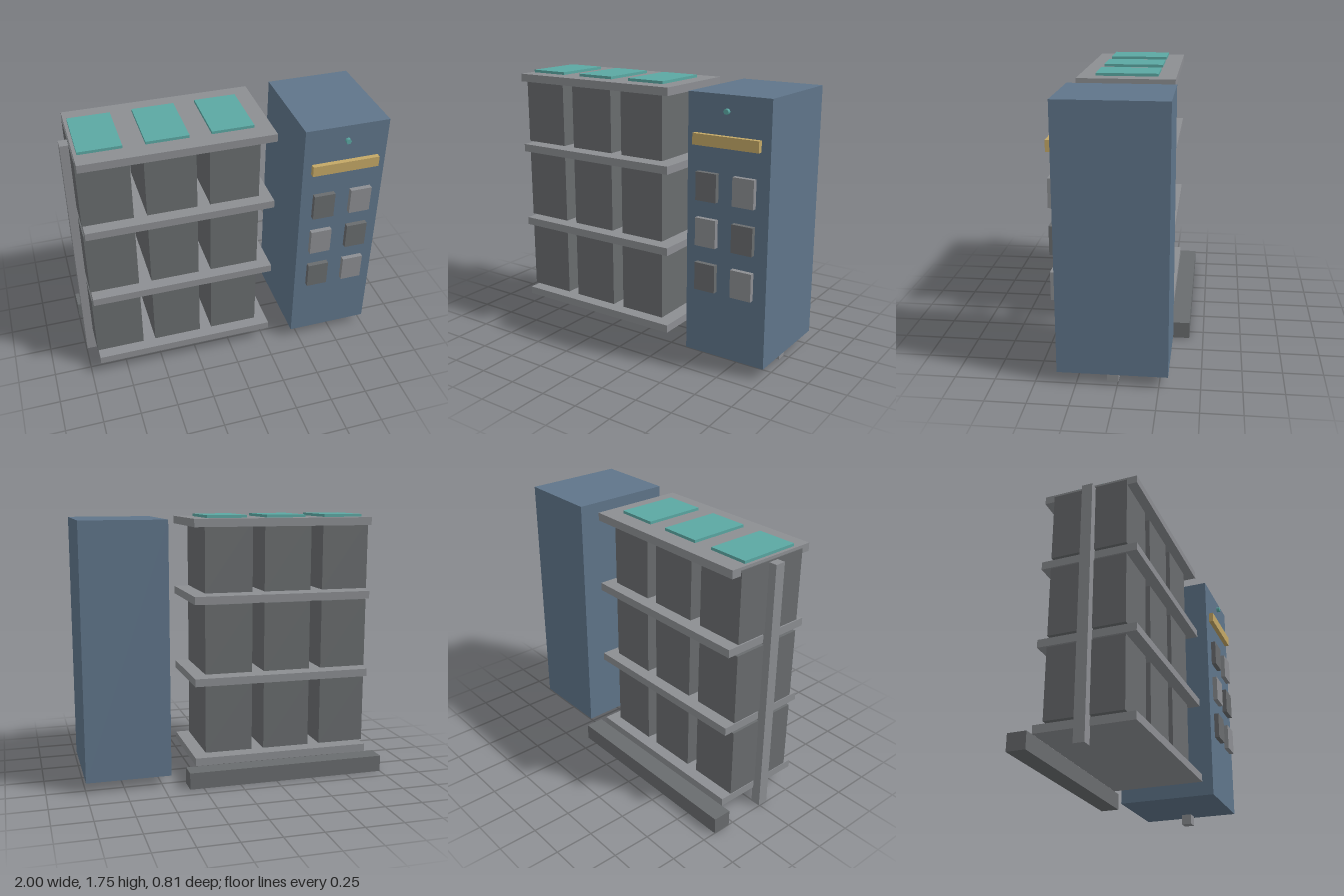
import * as THREE from 'three';

const mat = (name, color) => {
  const m = new THREE.MeshStandardMaterial({ color });
  m.name = name;
  return m;
};

export function createModel() {
  const blue = mat('cabinet blue', 0x5f758a);
  const dark = mat('dark grey', 0x696c6e);
  const light = mat('light grey', 0x8c8e92);
  const teal = mat('teal', 0x5ba8a3);
  const gold = mat('gold', 0xc4a866);
  const model = new THREE.Group();
  model.name = 'batteryStorageUnit';

  // box given by its lower and upper limits on each axis
  const box = (parent, name, material, [x0, x1], [y0, y1], [z0, z1]) => {
    const mesh = new THREE.Mesh(new THREE.BoxGeometry(x1 - x0, y1 - y0, z1 - z0), material);
    mesh.position.set((x0 + x1) / 2, (y0 + y1) / 2, (z0 + z1) / 2);
    mesh.name = name;
    parent.add(mesh);
    return mesh;
  };

  // Rack: four shelves, a side post and a rear floor rail
  const rack = new THREE.Group();
  rack.name = 'rack';
  model.add(rack);
  for (const y of [0.112, 0.65, 1.188, 1.68]) {
    box(rack, 'shelf', light, [-0.935, 0.275], [y, y + 0.052], [-0.287, 0.342]);
  }
  box(rack, 'sidePost', light, [-0.995, -0.928], [0, 1.705], [-0.003, 0.067]);
  box(rack, 'floorRail', dark, [-1, 0.342], [0, 0.11], [-0.408, -0.285]);

  // Three tiers of three battery modules with teal lids
  for (const y of [0.176, 0.714, 1.252]) {
    for (const x of [-0.78, -0.375, 0.03]) {
      const module = new THREE.Group();
      module.name = 'batteryModule';
      rack.add(module);
      box(module, 'batteryBody', dark, [x - 0.161, x + 0.161], [y, y + 0.462], [-0.22, 0.278]);
      box(module, 'batteryLid', teal, [x - 0.134, x + 0.134], [y + 0.462, y + 0.498], [-0.172, 0.23]);
    }
  }

  // Control cabinet with its foot
  const cabinet = new THREE.Group();
  cabinet.name = 'controlCabinet';
  model.add(cabinet);
  box(cabinet, 'cabinetBody', blue, [0.444, 1], [0.07, 1.73], [-0.305, 0.368]);
  box(cabinet, 'cabinetFoot', light, [0.892, 0.962], [0, 0.075], [-0.003, 0.067]);

  // Front panel: nameplate bar, indicator and two columns of modules
  const front = [0.374, 0.406];
  box(cabinet, 'statusBar', gold, [0.497, 0.942], [1.42, 1.49], front);
  [0.594, 0.846].forEach((x, col) => {
    [0.594, 0.882, 1.17].forEach((y, row) => {
      box(cabinet, 'breakerBlock', (row + col) % 2 ? light : dark,
        [x - 0.071, x + 0.071], [y - 0.089, y + 0.089], front);
    });
  });
  const lamp = new THREE.Mesh(new THREE.CylinderGeometry(0.018, 0.018, 0.024, 6), teal);
  lamp.geometry.rotateY(Math.PI / 2).rotateX(Math.PI / 2);
  lamp.position.set(0.72, 1.635, 0.391);
  lamp.name = 'indicatorLamp';
  cabinet.add(lamp);

  return model;
}
